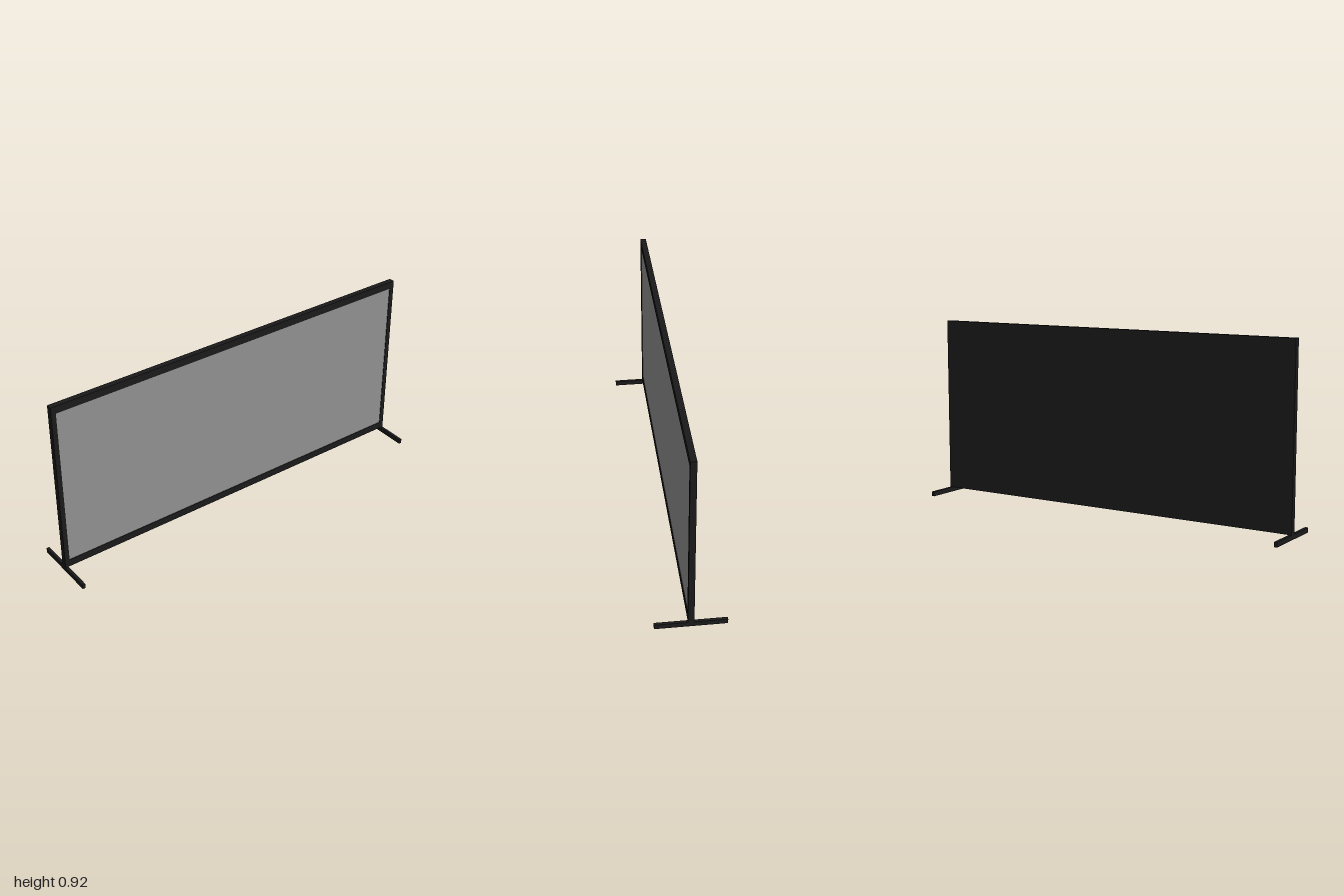
import * as THREE from 'three';

export function createModel() {
  const group = new THREE.Group();
  const black = new THREE.MeshStandardMaterial({ color: 0x1a1a1a });
  const grey = new THREE.MeshStandardMaterial({ color: 0x909090 });

  const add = (name, geometry, material, x, y, z) => {
    const mesh = new THREE.Mesh(geometry, material);
    mesh.name = name;
    mesh.position.set(x, y, z);
    group.add(mesh);
    return mesh;
  };

  const bottom = 0.024, top = 0.917, depth = 0.029;
  const rail = 0.037, post = 0.024;
  const midY = (bottom + top) / 2;
  const innerW = 2 - 2 * post, innerH = top - bottom - 2 * rail;

  // Frame rails
  const railGeometry = new THREE.BoxGeometry(2, rail, depth);
  add('topRail', railGeometry, black, 0, top - rail / 2, 0);
  add('bottomRail', railGeometry, black, 0, bottom + rail / 2, 0);

  // Side posts and the feet below them
  const postGeometry = new THREE.BoxGeometry(post, innerH, depth);
  const footGeometry = new THREE.BoxGeometry(0.015, bottom, 0.334);
  for (const [side, s] of [['left', 1], ['right', -1]]) {
    add(side + 'Post', postGeometry, black, s * (1 - post / 2), midY, 0);
    add(side + 'Foot', footGeometry, black, s * (1 - 0.0075), bottom / 2, 0);
  }

  // Screen at the front and the backing sheet flush with the frame's rear
  const sheet = new THREE.PlaneGeometry(innerW, innerH);
  add('screen', sheet, grey, 0, midY, depth / 2 - 0.003);
  add('backPanel', sheet, black, 0, midY, -depth / 2).rotation.y = Math.PI;

  return group;
}
